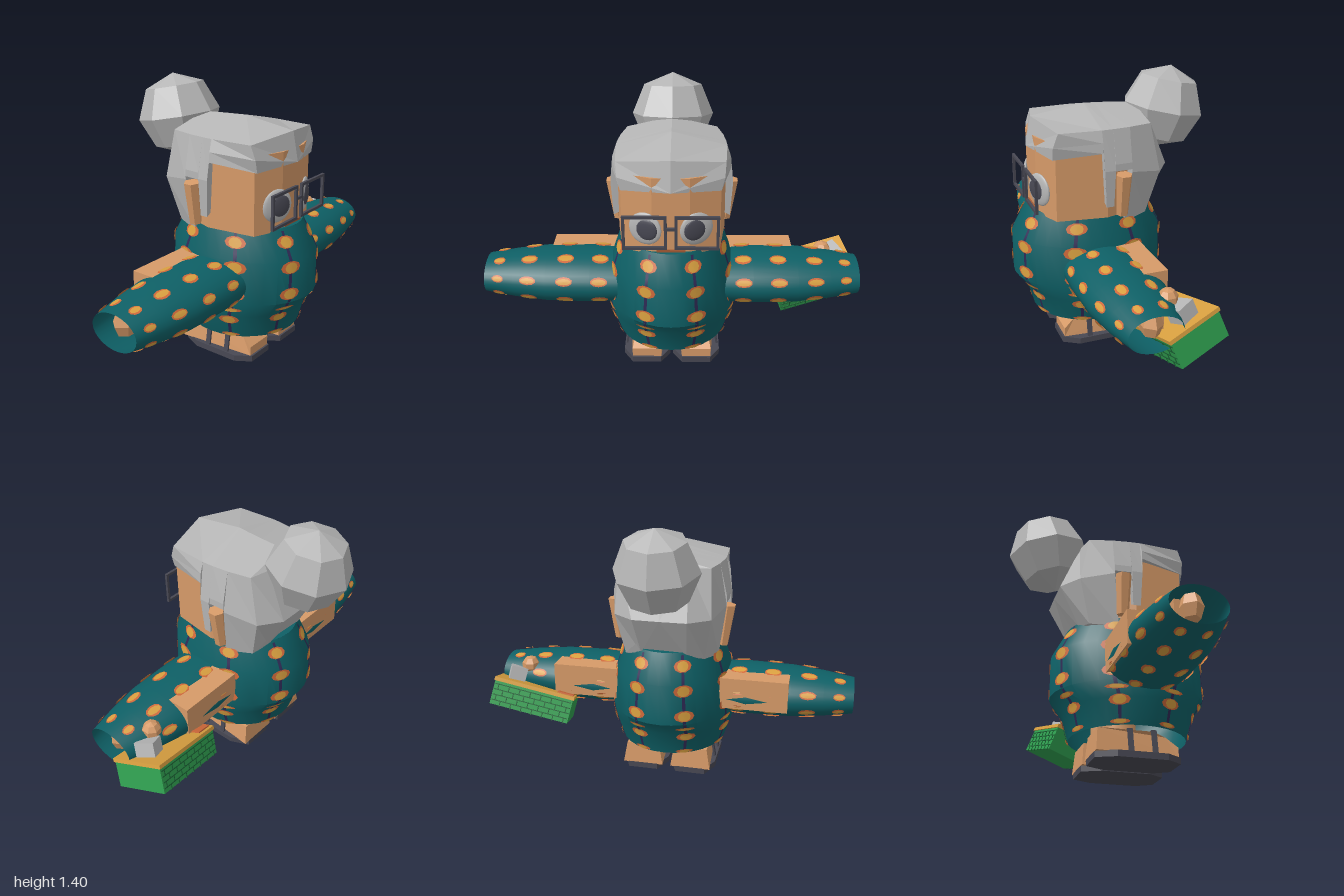
import * as THREE from 'three';
import { toCreasedNormals } from 'three/addons/utils/BufferGeometryUtils.js';
import { ParametricGeometry } from 'three/addons/geometries/ParametricGeometry.js';

const material = (name, color, side = THREE.FrontSide) =>
  new THREE.MeshStandardMaterial({ name, color, side });

// Linear lookup in rows of [position, ...values]
function sample(rows, p) {
  let i = 0;
  while (i < rows.length - 2 && p > rows[i + 1][0]) i++;
  const t = (p - rows[i][0]) / (rows[i + 1][0] - rows[i][0]);
  return rows[i].map((a, k) => a + (rows[i + 1][k] - a) * t);
}

// Faceted copy of a geometry
function flat(geometry) {
  const g = geometry.index ? geometry.toNonIndexed() : geometry;
  g.computeVertexNormals();
  return g;
}

// Tube through closed rings ordered front to back, with fan caps
function loft(rings) {
  const pos = [], n = rings[0].length;
  const tri = (...pts) => pts.forEach(p => pos.push(...p));
  for (let j = 0; j < rings.length - 1; j++) {
    for (let i = 0; i < n; i++) {
      const k = (i + 1) % n, A = rings[j], B = rings[j + 1];
      tri(A[i], B[i], A[k]);
      tri(A[k], B[i], B[k]);
    }
  }
  const first = rings[0], last = rings[rings.length - 1];
  for (let i = 1; i < n - 1; i++) {
    tri(first[0], first[i], first[i + 1]);
    tri(last[0], last[i + 1], last[i]);
  }
  const g = new THREE.BufferGeometry();
  g.setAttribute('position', new THREE.Float32BufferAttribute(pos, 3));
  return flat(g);
}

export function createModel() {
  const both = THREE.DoubleSide;
  const teal = material('tealCloth', 0x0e6066, both);
  const orange = material('orangePrint', 0xd0693a, both);
  const gold = material('goldPrint', 0xd9a040, both);
  const purple = material('purplePrint', 0x2e2a55, both);
  const skin = material('skin', 0xd69a68);
  const grey = material('greyHair', 0xb6b6b6, both);
  const slate = material('slate', 0x484853);
  const green = material('basketGreen', 0x2f9e4f);
  const darkGreen = material('weaveGreen', 0x1a6334);
  const brown = material('lipBrown', 0xa55a35);

  const model = new THREE.Group();
  const person = new THREE.Group();
  person.name = 'person';
  person.position.x = -0.025;
  model.add(person);

  const add = (parent, name, geometry, mat, x = 0, y = 0, z = 0) => {
    const mesh = new THREE.Mesh(geometry, mat);
    mesh.name = name;
    mesh.position.set(x, y, z);
    parent.add(mesh);
    return mesh;
  };
  const box = (parent, name, mat, size, at) =>
    add(parent, name, new THREE.BoxGeometry(...size), mat, ...at);

  // Cloth surface from a profile; surface(angle, position, lift) gives a point
  const cloth = (name, rows, surface) => {
    const n = rows.length - 1;
    const g = new ParametricGeometry((u, v, target) => {
      const i = Math.min(n - 1, Math.floor(v * n)), f = v * n - i;
      const p = rows[i][0] + (rows[i + 1][0] - rows[i][0]) * f;
      target.copy(surface(u * Math.PI * 2, p, 0));
    }, 32, n);
    add(person, name, toCreasedNormals(g, 0.6), teal);
  };
  // Printed shape laid onto a cloth surface
  const print = (name, base, mat, surface, angle, p, da, dp, lift) => {
    const g = base.clone(), a = g.attributes.position;
    for (let i = 0; i < a.count; i++) {
      const v = surface(angle + a.getX(i) * da, p + a.getY(i) * dp, lift);
      a.setXYZ(i, v.x, v.y, v.z);
    }
    g.computeVertexNormals();
    add(person, name, g, mat);
  };
  const spot = new THREE.RingGeometry(0, 1, 10, 2);
  const strip = new THREE.PlaneGeometry(2, 2, 1, 16);
  const flower = (surface, angle, p, da, dp) => {
    print('flowerPetals', spot, orange, surface, angle, p, da, dp, 0.006);
    print('flowerCentre', spot, gold, surface, angle, p, da * 0.62, dp * 0.85, 0.009);
  };

  // Dress: rows of height, half width, half depth
  const dressRows = [[0.15, 0.288, 0.3], [0.28, 0.33, 0.335], [0.36, 0.335, 0.4],
    [0.58, 0.31, 0.4], [0.73, 0.26, 0.32]];
  const dress = (a, y, lift) => {
    const [, rx, rz] = sample(dressRows, y);
    return new THREE.Vector3(Math.sin(a) * (rx + lift), y, 0.124 + Math.cos(a) * (rz + lift));
  };
  cloth('dress', dressRows, dress);
  const yoke = add(person, 'dressTop', new THREE.CylinderGeometry(0.26, 0.26, 0.01, 32), teal, 0, 0.725, 0.124);
  yoke.scale.z = 1.23;
  for (let i = 0; i < 8; i++) {
    const a = (i + 0.5) * Math.PI / 4;
    print('dressSeam', strip, purple, dress, a, 0.44, 0.025, 0.28, 0.004);
    for (const [y, h] of [[0.67, 0.03], [0.55, 0.034], [0.41, 0.032], [0.325, 0.012], [0.263, 0.026], [0.165, 0.012]])
      flower(dress, a, y, 0.16, h);
  }

  // Sleeves with arms inside
  const sleeveRows = [[0.22, 0.12, 0.2], [0.42, 0.132, 0.206], [0.65, 0.128, 0.2], [0.82, 0.112, 0.172], [0.975, 0.09, 0.135]];
  for (const s of [1, -1]) {
    const sleeve = (a, x, lift) => {
      const [, ry, rz] = sample(sleeveRows, x);
      return new THREE.Vector3(s * x, 0.447 + Math.sin(a) * (ry + lift), 0.135 + Math.cos(a) * (rz + lift));
    };
    cloth('sleeve', sleeveRows, sleeve);
    for (let i = 0; i < 8; i++)
      for (const x of [0.37, 0.55, 0.74, 0.9])
        flower(sleeve, (i + 0.5) * Math.PI / 4, x, 0.17, x > 0.8 ? 0.032 : 0.045);
    box(person, 'upperArm', skin, [0.36, 0.17, 0.16], [s * 0.46, 0.48, 0.012]);
    box(person, 'forearm', skin, [0.26, 0.1, 0.1], [s * 0.75, 0.46, 0.11]);
    const hand = add(person, 'hand', flat(new THREE.SphereGeometry(0.075, 6, 4)), skin, s * 0.89, 0.465, 0.13);
    hand.scale.z = 0.75;
  }
  add(person, 'thumb', flat(new THREE.SphereGeometry(0.05, 7, 5)), skin, 0.81, 0.52, 0.01);

  // Feet in strapped sandals
  const footShape = new THREE.Shape([[0.32, 0.03], [0.32, 0.08], [0.26, 0.13], [0.19, 0.145], [-0.09, 0.145], [-0.1, 0.03]]
    .map(p => new THREE.Vector2(...p)));
  const soleShape = new THREE.Shape([[-0.08, -0.1], [0.08, -0.1], [0.125, 0], [0.125, 0.25], [0.075, 0.33], [-0.075, 0.33], [-0.125, 0.25], [-0.125, 0]]
    .map(p => new THREE.Vector2(p[0], -p[1])));
  for (const s of [1, -1]) {
    const foot = new THREE.Group();
    foot.name = 'foot';
    foot.position.x = s * 0.132;
    person.add(foot);
    const fg = new THREE.ExtrudeGeometry(footShape, { depth: 0.22, bevelEnabled: false });
    fg.translate(0, 0, -0.11).rotateY(-Math.PI / 2);
    const p = fg.attributes.position;
    for (let i = 0; i < p.count; i++) {
      const narrow = (p.getZ(i) > 0.25 ? 0.7 : 1) * (p.getY(i) > 0.1 ? 0.82 : 1);
      p.setX(i, p.getX(i) * narrow);
    }
    add(foot, 'footSkin', flat(fg), skin);
    const sole = new THREE.ExtrudeGeometry(soleShape, { depth: 0.032, bevelEnabled: false });
    add(foot, 'sole', sole.rotateX(-Math.PI / 2), slate);
    for (const z of [0.19, 0.07]) {
      box(foot, 'strapTop', slate, [0.19, 0.01, 0.026], [0, 0.147, z]);
      for (const e of [1, -1]) {
        const side = box(foot, 'strapSide', slate, [0.01, 0.12, 0.026], [e * 0.104, 0.088, z]);
        side.rotation.z = e * 0.17;
      }
    }
    add(foot, 'leg', new THREE.CylinderGeometry(0.08, 0.08, 0.25, 8), skin, 0, 0.25, 0.05);
  }

  // Head and face
  const half = [[0.09, 0.415], [0.24, 0.355], [0.275, 0.1], [0.2, -0.12]];
  const outline = [...half, ...half.map(([x, z]) => [-x, z]).reverse()];
  const headShape = new THREE.Shape(outline.map(([x, z]) => new THREE.Vector2(x, -z)));
  const head = new THREE.ExtrudeGeometry(headShape, { depth: 0.4, bevelEnabled: false });
  add(person, 'head', head.rotateX(-Math.PI / 2), skin, 0, 0.715, 0);
  box(person, 'mouth', brown, [0.14, 0.02, 0.03], [0, 0.732, 0.408]);
  for (const s of [1, -1]) {
    const eye = new THREE.Group();
    eye.name = 'eye';
    eye.position.set(s * 0.123, 0.852, 0.408);
    eye.rotation.y = s * 0.36;
    person.add(eye);
    const white = add(eye, 'eyeWhite', new THREE.SphereGeometry(0.085, 20, 10), grey);
    white.scale.z = 0.2;
    const pupil = add(eye, 'pupil', new THREE.SphereGeometry(0.055, 20, 10), slate, -s * 0.012, 0, 0.011);
    pupil.scale.z = 0.2;
    // Glasses rim
    for (const e of [1, -1]) {
      box(person, 'rimBar', slate, [0.21, 0.014, 0.014], [s * 0.125, 0.851 + e * 0.081, 0.452]);
      box(person, 'rimPost', slate, [0.014, 0.176, 0.014], [s * 0.125 + e * 0.1, 0.851, 0.452]);
    }
    // Ear
    const ear = add(person, 'ear', flat(new THREE.CylinderGeometry(0.04, 0.03, 0.22, 6)), skin, s * 0.292, 0.835, 0.025);
    ear.rotation.z = s * -0.12;
    ear.scale.z = 1.05;
  }
  box(person, 'bridge', slate, [0.06, 0.014, 0.014], [0, 0.87, 0.452]);

  // Hair: half sections of underside, lower edge, side, shoulder and crown
  const hairHalves = [
    [[0, 1.05, 0.44], [0.24, 1.035, 0.37], [0.255, 1.1, 0.37], [0.26, 1.17, 0.345], [0, 1.2, 0.41]],
    [[0, 1.05, 0.13], [0.3, 1.06, 0.13], [0.295, 1.11, 0.13], [0.275, 1.17, 0.13], [0, 1.24, 0.13]],
    [[0, 0.95, 0.125], [0.3, 0.78, 0.115], [0.31, 0.97, 0.125], [0.275, 1.17, 0.125], [0, 1.24, 0.125]],
    [[0, 0.95, 0.07], [0.3, 0.78, 0.075], [0.31, 0.97, 0.07], [0.272, 1.17, 0.07], [0, 1.235, 0.07]],
    [[0, 0.95, 0.069], [0.305, 0.965, 0.069], [0.305, 1, 0.069], [0.272, 1.17, 0.069], [0, 1.235, 0.069]],
    [[0, 0.95, -0.019], [0.3, 0.965, -0.019], [0.3, 1, -0.019], [0.262, 1.17, -0.019], [0, 1.23, -0.019]],
    [[0, 0.7, -0.02], [0.26, 0.67, 0.01], [0.3, 0.95, -0.02], [0.262, 1.17, -0.02], [0, 1.23, -0.02]],
    [[0, 0.69, -0.14], [0.21, 0.69, -0.13], [0.25, 0.92, -0.19], [0.235, 1.17, -0.14], [0, 1.225, -0.14]],
    [[0, 0.92, -0.272], [0.12, 0.71, -0.16], [0.14, 0.92, -0.27], [0.13, 1.17, -0.165], [0, 1.19, -0.165]],
  ];
  const rings = hairHalves.map(h => [...h, ...h.slice(1, 4).reverse().map(([x, y, z]) => [-x, y, z])]);
  add(person, 'hair', loft(rings), grey);
  const bun = add(person, 'hairBun', flat(new THREE.SphereGeometry(0.218, 8, 4)), grey, 0, 1.187, -0.31);
  bun.rotation.x = -0.2;

  // Tilted basket
  const basket = new THREE.Group();
  basket.name = 'basket';
  const ex = new THREE.Vector3(0.43, 0.11, -0.06).normalize();
  const ey = new THREE.Vector3(0.05, -0.09, 0.27).cross(ex).normalize();
  const ez = new THREE.Vector3().crossVectors(ex, ey);
  basket.quaternion.setFromRotationMatrix(new THREE.Matrix4().makeBasis(ex, ey, ez));
  basket.position.set(0.747, 0.339, -0.041);
  model.add(basket);
  box(basket, 'basketBody', green, [0.44, 0.14, 0.275], [0, -0.005, 0]);
  box(basket, 'basketRim', gold, [0.45, 0.02, 0.288], [0, 0.067, 0]);
  box(basket, 'basketCloth', orange, [0.09, 0.012, 0.25], [-0.17, 0.078, 0]);
  for (const s of [1, -1]) {
    for (let r = 0; r < 4; r++) {
      const y = -0.05 + r * 0.03;
      box(basket, 'weaveRow', darkGreen, [0.43, 0.005, 0.005], [0, y, s * 0.138]);
      for (let c = 0; c < 7; c++)
        box(basket, 'weaveJoint', darkGreen, [0.005, 0.03, 0.005], [-0.195 + c * 0.06 + (r % 2) * 0.03, y - 0.015, s * 0.138]);
    }
  }
  // Basket contents
  const hoop = add(basket, 'hoop', new THREE.TorusGeometry(0.095, 0.014, 6, 16, Math.PI), grey, 0.02, 0.07, 0.04);
  hoop.rotation.y = 0.15;
  const block = box(basket, 'block', grey, [0.09, 0.09, 0.1], [0.13, 0.105, -0.01]);
  block.rotation.y = 0.25;

  return model;
}
